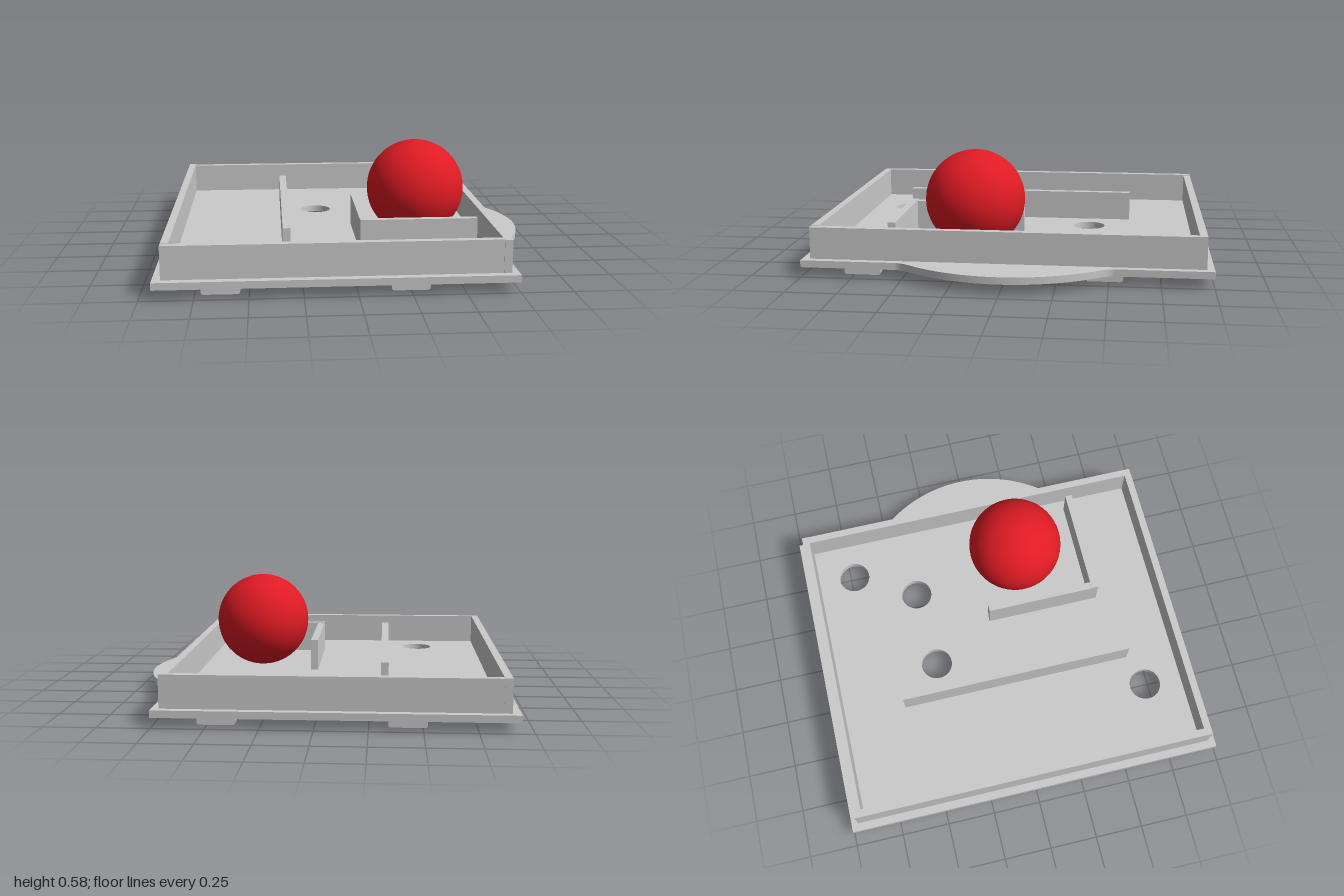
import * as THREE from 'three';

const FLOOR = 0.085; // top of the base board
const THICK = 0.038; // thickness of the wall planks
const TAB = 0.18; // length of a tab

const grey = new THREE.MeshStandardMaterial({ color: 0xcccccc });
const red = new THREE.MeshStandardMaterial({ color: 0xe01b24 });

function makeMesh(name, geometry, material = grey) {
  const mesh = new THREE.Mesh(geometry, material);
  mesh.name = name;
  return mesh;
}

// Upright plank from a to b, with rounded tabs that reach through the board.
function plankGeometry(a, b, top, tabs, tabBottom) {
  const r = 0.015;
  const s = new THREE.Shape();
  s.moveTo(a, FLOOR);
  for (const c of [...tabs].sort((p, q) => p - q)) {
    const l = c - TAB / 2, e = c + TAB / 2;
    s.lineTo(l, FLOOR);
    s.lineTo(l, tabBottom + r);
    s.quadraticCurveTo(l, tabBottom, l + r, tabBottom);
    s.lineTo(e - r, tabBottom);
    s.quadraticCurveTo(e, tabBottom, e, tabBottom + r);
    s.lineTo(e, FLOOR);
  }
  s.lineTo(b, FLOOR);
  s.lineTo(b, top);
  s.lineTo(a, top);
  s.closePath();
  return new THREE.ExtrudeGeometry(s, { depth: THICK, bevelEnabled: false, curveSegments: 4 });
}

// Board outline in x and z, with the curved bulge on one side and round holes.
function boardGeometry() {
  const s = new THREE.Shape();
  const arc = Math.atan2(0.43, 0.59);
  s.moveTo(-0.94, -1);
  s.lineTo(0.75, -1);
  s.lineTo(0.75, -0.53);
  s.quadraticCurveTo(0.75, -0.495, 0.8, -0.43);
  s.absarc(0.21, 0, 0.73, -arc, arc, false);
  s.quadraticCurveTo(0.75, 0.495, 0.75, 0.53);
  s.lineTo(0.75, 1);
  s.lineTo(-0.94, 1);
  s.closePath();
  for (const [x, z] of [[0.48, -0.725], [-0.135, -0.375], [0.295, -0.4], [-0.515, 0.72]]) {
    s.holes.push(new THREE.Path().absarc(x, z, 0.084, 0, Math.PI * 2, true));
  }
  const g = new THREE.ExtrudeGeometry(s, { depth: 0.035, bevelEnabled: false, curveSegments: 32 });
  return g.rotateX(Math.PI / 2).translate(0, FLOOR, 0);
}

export function createModel() {
  const model = new THREE.Group();
  model.name = 'ballMaze';
  model.add(makeMesh('baseBoard', boardGeometry()));

  // Walls: axis they run along, start, end, near face on the other axis, top, tab centres, tab bottom
  const walls = [
    ['backWall', 'x', -0.862, 0.715, -0.963, 0.245, [-0.43, 0.45], 0.012],
    ['frontWall', 'x', -0.9, 0.676, 0.922, 0.245, [-0.63, 0.245], 0.012],
    ['leftWall', 'z', -0.925, 0.96, 0.677, 0.243, [-0.48, 0.7], 0.012],
    ['rightWall', 'z', -0.965, 0.922, -0.9, 0.247, [-0.69, 0.48], 0.015],
    ['longInnerWall', 'z', -0.595, 0.662, -0.341, 0.24, [-0.425, 0.34], 0],
    ['shortInnerWall', 'z', -0.03, 0.552, 0.042, 0.25, [0.09, 0.39], 0.02],
    ['crossInnerWall', 'x', 0.042, 0.623, 0.552, 0.255, [0.16, 0.46], 0.02],
  ];
  for (const [name, axis, a, b, face, top, tabs, tabBottom] of walls) {
    const wall = makeMesh(name, plankGeometry(a, b, top, tabs, tabBottom));
    if (axis === 'x') {
      wall.position.z = face;
    } else {
      wall.rotation.y = -Math.PI / 2;
      wall.position.x = face + THICK;
    }
    model.add(wall);
  }

  // Ball resting in the pocket of the inner walls
  const ball = makeMesh('ball', new THREE.SphereGeometry(0.253, 48, 32), red);
  ball.position.set(0.365, 0.33, 0.19);
  model.add(ball);

  return model;
}
